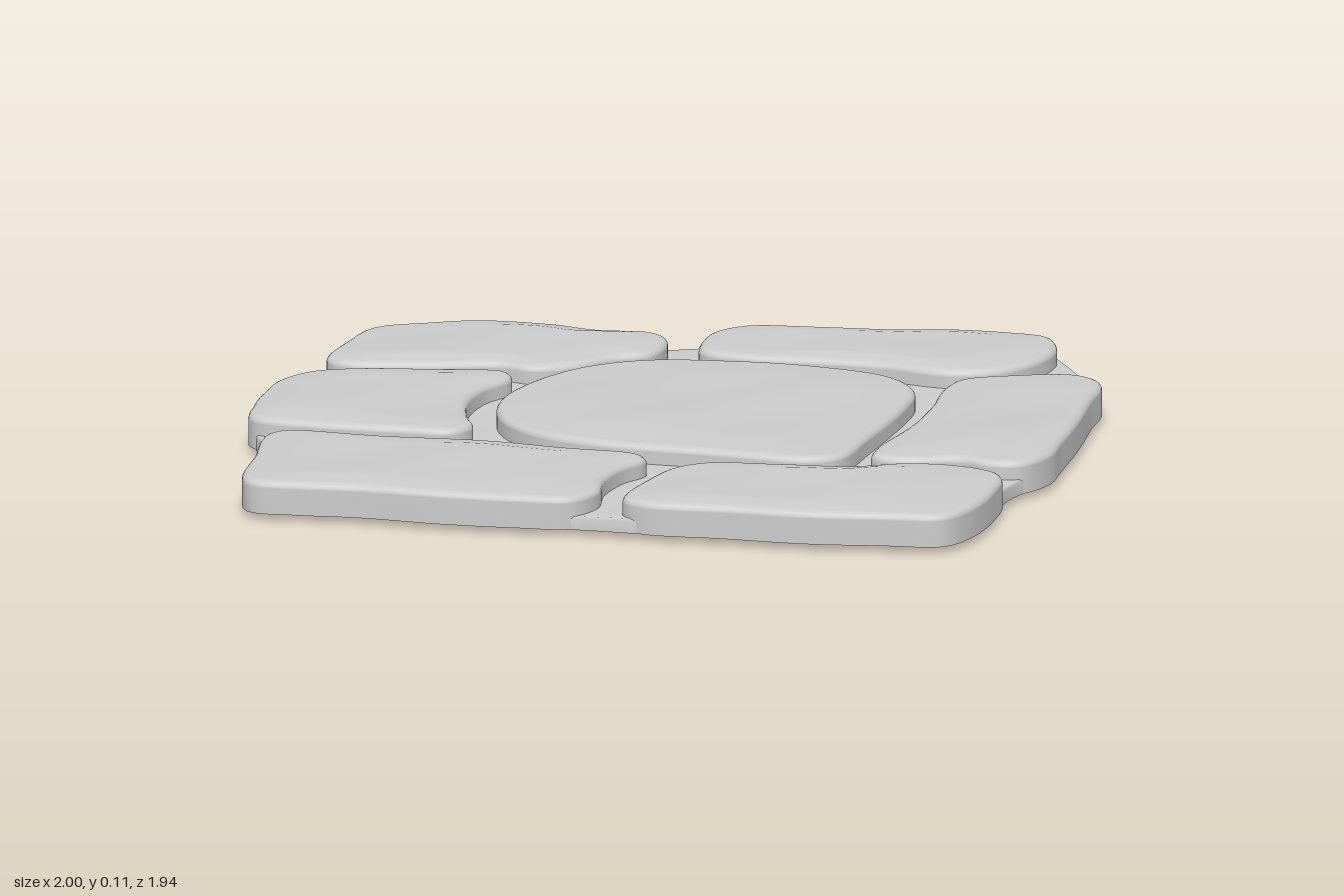
import * as THREE from 'three';

// Outlines as [x, z], clockwise seen from above
const STONES = {
  backLeftStone: [[-0.95, -0.25], [-0.955, -0.42], [-0.93, -0.57], [-0.82, -0.65], [-0.7, -0.71], [-0.52, -0.72], [-0.4, -0.7], [-0.28, -0.72], [-0.22, -0.68], [-0.21, -0.53], [-0.29, -0.46], [-0.36, -0.36], [-0.45, -0.305], [-0.54, -0.32], [-0.7, -0.26], [-0.9, -0.215]],
  backStone: [[-0.13, -0.77], [-0.07, -0.85], [0.1, -0.89], [0.28, -0.92], [0.42, -0.96], [0.55, -0.972], [0.66, -0.96], [0.71, -0.87], [0.71, -0.75], [0.65, -0.62], [0.53, -0.56], [0.35, -0.585], [0.2, -0.58], [0, -0.56], [-0.1, -0.58], [-0.13, -0.66]],
  rightSideStone: [[0.58, -0.5], [0.68, -0.57], [0.83, -0.625], [0.91, -0.58], [0.94, -0.4], [0.97, -0.2], [0.99, 0], [1, 0.13], [0.96, 0.235], [0.88, 0.255], [0.8, 0.235], [0.7, 0.28], [0.6, 0.28], [0.58, 0.2], [0.595, -0.05], [0.585, -0.25], [0.565, -0.4]],
  centreStone: [[-0.43, 0.02], [-0.41, -0.17], [-0.33, -0.35], [-0.2, -0.46], [0, -0.51], [0.2, -0.52], [0.4, -0.48], [0.5, -0.38], [0.53, -0.2], [0.53, 0.1], [0.52, 0.3], [0.45, 0.35], [0.2, 0.35], [-0.1, 0.345], [-0.25, 0.3], [-0.37, 0.19]],
  leftSideStone: [[-1, 0], [-0.95, -0.11], [-0.85, -0.17], [-0.68, -0.215], [-0.5, -0.25], [-0.465, -0.2], [-0.5, -0.08], [-0.5, 0.05], [-0.46, 0.18], [-0.42, 0.27], [-0.45, 0.34], [-0.6, 0.36], [-0.8, 0.375], [-0.95, 0.36], [-0.99, 0.22], [-1, 0.1]],
  frontLeftStone: [[-0.87, 0.5], [-0.83, 0.45], [-0.6, 0.44], [-0.35, 0.41], [-0.15, 0.42], [0.04, 0.42], [0.08, 0.46], [0.05, 0.55], [0.04, 0.68], [0.06, 0.8], [0.02, 0.89], [-0.1, 0.915], [-0.3, 0.935], [-0.5, 0.935], [-0.65, 0.955], [-0.77, 0.96], [-0.81, 0.9], [-0.84, 0.7]],
  frontRightStone: [[0.14, 0.65], [0.17, 0.52], [0.24, 0.45], [0.4, 0.42], [0.58, 0.39], [0.68, 0.33], [0.8, 0.305], [0.94, 0.35], [0.975, 0.5], [0.97, 0.7], [0.93, 0.79], [0.8, 0.82], [0.6, 0.86], [0.4, 0.87], [0.2, 0.885], [0.14, 0.85]],
};
const SLAB = [[-1, 0.05], [-0.94, -0.13], [-0.93, -0.19], [-0.95, -0.28], [-0.955, -0.42], [-0.93, -0.57], [-0.82, -0.65], [-0.7, -0.71], [-0.52, -0.72], [-0.4, -0.7], [-0.28, -0.72], [-0.18, -0.77], [-0.07, -0.85], [0.1, -0.89], [0.28, -0.92], [0.42, -0.96], [0.55, -0.972], [0.67, -0.96], [0.73, -0.89], [0.82, -0.76], [0.91, -0.6], [0.94, -0.4], [0.97, -0.2], [0.99, 0], [1, 0.13], [0.965, 0.25], [0.955, 0.34], [0.975, 0.5], [0.97, 0.7], [0.93, 0.79], [0.8, 0.82], [0.6, 0.86], [0.4, 0.87], [0.2, 0.885], [0.02, 0.895], [-0.3, 0.935], [-0.5, 0.935], [-0.65, 0.955], [-0.77, 0.96], [-0.81, 0.9], [-0.84, 0.7], [-0.87, 0.5], [-0.95, 0.36], [-0.99, 0.22]];

// Lumps under the slab: x, z, radius, depth
const LUMPS = [[-0.3, 0, 0.07, 0.015], [-0.26, 0.2, 0.06, 0.014], [-0.15, 0.3, 0.05, 0.01], [0.37, 0.1, 0.06, 0.012], [0.1, 0.05, 0.1, 0.006], [0.3, -0.3, 0.08, 0.006]];

const wave = (x, z) =>
  0.5 * Math.sin(7 * x + 4 * z + 1) + 0.3 * Math.sin(11 * z - 6 * x) + 0.2 * Math.sin(17 * x + 13 * z);
const bump = (x, z, cx, cz, r) => Math.exp(-((x - cx) ** 2 + (z - cz) ** 2) / (r * r));

// Smooth closed outline with an inward direction at each sample
function sampleOutline(points, n) {
  const curve = new THREE.CatmullRomCurve3(points.map(([x, z]) => new THREE.Vector3(x, 0, z)), true, 'centripetal');
  const pts = curve.getSpacedPoints(n).slice(0, n);
  const centre = new THREE.Vector3();
  pts.forEach((p) => centre.addScaledVector(p, 1 / n));
  const inward = pts.map((p, i) => {
    const t = pts[(i + 1) % n].clone().sub(pts[(i + n - 1) % n]).normalize();
    return new THREE.Vector3(-t.z, 0, t.x);
  });
  return { pts, inward, centre };
}

// Skin over rings of { inset, scale, y(x, z) }, listed from underside centre to top centre
function loft(points, n, rings) {
  const { pts, inward, centre } = sampleOutline(points, n);
  const pos = [], index = [];
  rings.forEach(({ inset = 0, scale = 1, y }, r) => {
    for (let j = 0; j < n; j++) {
      const p = pts[j].clone().addScaledVector(inward[j], inset).sub(centre).multiplyScalar(scale).add(centre);
      pos.push(p.x, y(p.x, p.z), p.z);
      if (r === 0) continue;
      const k = (j + 1) % n, a = (r - 1) * n, b = r * n;
      index.push(a + j, b + j, b + k, a + j, b + k, a + k);
    }
  });
  const geo = new THREE.BufferGeometry();
  geo.setAttribute('position', new THREE.Float32BufferAttribute(pos, 3));
  geo.setIndex(index);
  geo.computeVertexNormals();
  return geo;
}

// Rounded stone with a gently uneven top
function stoneGeometry(points) {
  const bottom = () => 0.021;
  const rings = [{ scale: 0.001, y: bottom }, { y: bottom }, { y: bottom }, { y: () => 0.085 }];
  const top = (x, z) => 0.109 + 0.005 * wave(x, z) - 0.006 * bump(x, z, 0.37, -0.82, 0.08);
  const radius = 0.022;
  for (let i = 1; i <= 5; i++) {
    const a = (i / 5) * Math.PI / 2;
    rings.push({
      inset: radius * (1 - Math.cos(a)),
      y: (x, z) => 0.085 + (0.018 + 0.2 * (top(x, z) - 0.109)) * Math.sin(a),
    });
  }
  for (let i = 1; i <= 12; i++) {
    const s = Math.max(1 - i / 12, 0.001), k = Math.min(1, i / 3);
    rings.push({ inset: radius, scale: s, y: (x, z) => THREE.MathUtils.lerp(0.103 + 0.2 * (top(x, z) - 0.109), top(x, z), k) });
  }
  return loft(points, 112, rings);
}

// Mortar bed with a lumpy underside
function slabGeometry() {
  const under = (x, z) => LUMPS.reduce((y, [cx, cz, r, d]) => y - d * bump(x, z, cx, cz, r), 0.02);
  const mortar = (x, z) => 0.055 + 0.004 * wave(x, z);
  const inset = 0.006, rings = [];
  for (let i = 0; i <= 28; i++) rings.push({ inset, scale: Math.max(i / 28, 0.001), y: under });
  rings.push({ inset, y: under }, { inset, y: (x, z) => mortar(x, z) - 0.006 });
  for (let i = 0; i <= 20; i++) rings.push({ inset: inset + 0.006, scale: Math.max(1 - i / 20, 0.001), y: mortar });
  return loft(SLAB, 200, rings);
}

export function createModel() {
  const group = new THREE.Group();
  group.name = 'stonePaving';
  const material = new THREE.MeshStandardMaterial({ color: 0xcccccc });
  const add = (name, geometry) => {
    const mesh = new THREE.Mesh(geometry, material);
    mesh.name = name;
    group.add(mesh);
  };
  add('mortarBed', slabGeometry());
  // Model's left is +x, so the outlines at +x are named left
  const swap = (s) => s.replace(/left|right/gi, (w) => ({ left: 'right', right: 'left', Left: 'Right', Right: 'Left' })[w]);
  for (const [name, points] of Object.entries(STONES)) add(swap(name), stoneGeometry(points));
  return group;
}
